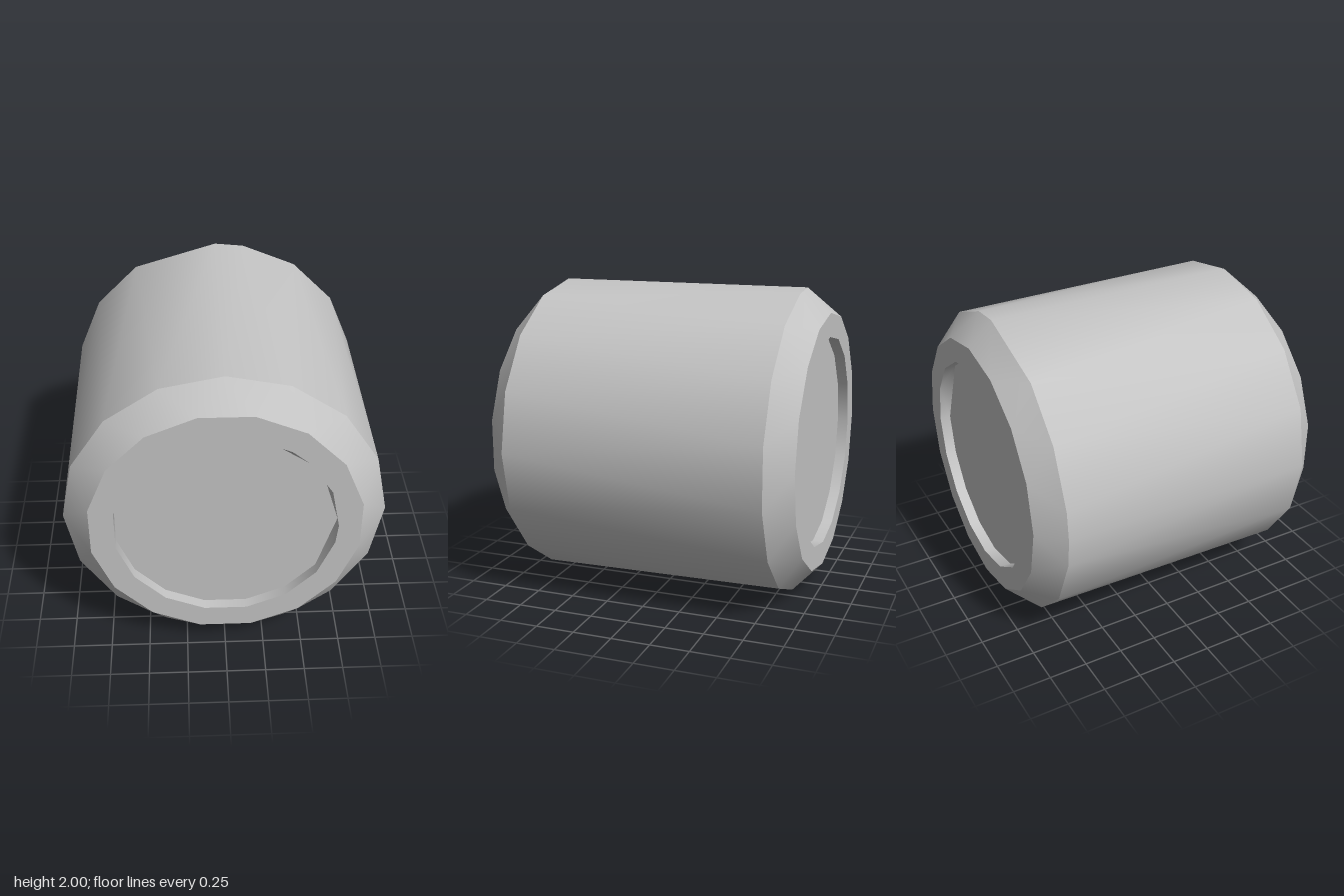
import * as THREE from 'three';

const STEP = 22.5;

// Sixteen angles in degrees, starting at a given one
const evenly = (start, n = 16) => Array.from({ length: n }, (_, i) => start + i * STEP);

// Strip between two rings of points {r, z, a: ascending angles}, with smooth
// normals inside the strip and hard edges at its ends
function bridge(a, b) {
  const pos = [], nor = [];
  const dr = b.r - a.r, dz = b.z - a.z, len = Math.hypot(dr, dz);
  const put = (ring, angle) => {
    const t = THREE.MathUtils.degToRad(angle), c = Math.cos(t), s = Math.sin(t);
    pos.push(ring.r * c, ring.r * s, ring.z);
    nor.push(-dz / len * c, -dz / len * s, dr / len);
  };
  const at = (ring, i) => ring.a[i % ring.a.length] + 360 * Math.floor(i / ring.a.length);
  let i = 0, j = 0;
  while (i < a.a.length || j < b.a.length) {
    const stepA = j >= b.a.length || (i < a.a.length &&
      at(a, i) + at(a, i + 1) < at(b, j) + at(b, j + 1));
    if (stepA) {
      if (a.r > 0) { put(a, at(a, i)); put(b, at(b, j)); put(a, at(a, i + 1)); }
      i++;
    } else {
      if (b.r > 0) { put(a, at(a, i)); put(b, at(b, j)); put(b, at(b, j + 1)); }
      j++;
    }
  }
  const g = new THREE.BufferGeometry();
  g.setAttribute('position', new THREE.Float32BufferAttribute(pos, 3));
  g.setAttribute('normal', new THREE.Float32BufferAttribute(nor, 3));
  return g;
}

export function createModel() {
  const grey = new THREE.MeshStandardMaterial({ color: 0xc4c4c4 });
  grey.name = 'grey';
  const group = new THREE.Group();
  group.name = 'barrel';

  const odd = evenly(-33.75), even = evenly(-22.5);

  // Slightly irregular rings of the recesses and the rear shoulder
  const frontFloor = [-33.75, 0, 33.75, 78.75, ...evenly(101.25, 10)];
  const frontRim = [-33.75, -11.25, 0, 22.5, 45, 56.25, 78.75, 90, 112.5, ...evenly(123.75, 9)];
  const backFloor = even.filter((d) => d !== 22.5);
  const backShoulder = [...evenly(-33.75, 6), 90, 123.75, 146.25, 168.75, 180, ...evenly(191.25, 6)];

  // Rings from the centre of the front recess, around the outside, to the back
  const rings = [
    { r: 0, z: 0.93, a: frontFloor },
    { r: 0.69, z: 0.93, a: frontFloor },
    { r: 0.69, z: 1, a: frontRim },
    { r: 0.845, z: 1, a: odd },
    { r: 1, z: 0.84, a: even },
    { r: 1, z: -0.845, a: backShoulder },
    { r: 0.845, z: -1, a: even },
    { r: 0.69, z: -1, a: even },
    { r: 0.69, z: -0.93, a: backFloor },
    { r: 0, z: -0.93, a: backFloor },
  ];
  const names = ['frontFloor', 'frontRecessWall', 'frontRim', 'frontChamfer', 'side',
    'backChamfer', 'backRim', 'backRecessWall', 'backFloor'];

  names.forEach((name, k) => {
    const mesh = new THREE.Mesh(bridge(rings[k], rings[k + 1]), grey);
    mesh.name = name;
    mesh.position.y = 1;
    group.add(mesh);
  });
  return group;
}
